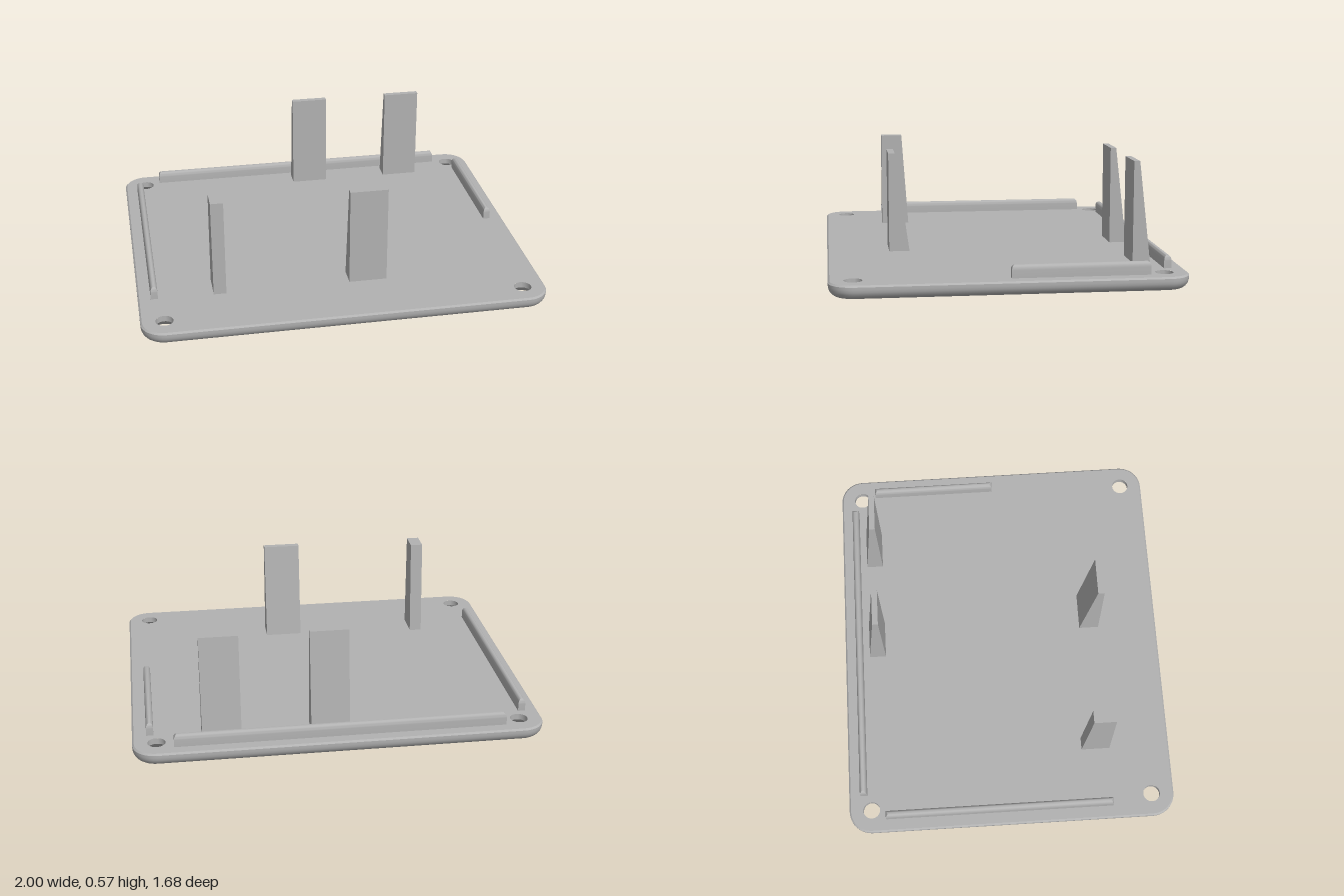
import * as THREE from 'three';
import { toCreasedNormals } from 'three/addons/utils/BufferGeometryUtils.js';

const gray = new THREE.MeshStandardMaterial({ color: 0xb2b2b2 });
gray.name = 'gray plastic';

const CX = 0.885, CZ = 0.727;          // corner and screw hole centres
const R = 0.115, FILLET = 0.05;        // corner radius, lower edge rounding
const TOP = 0.07, CHAMFER = 0.008;
const HOLE = 0.043, SINK = 0.083;      // screw hole and countersink radii
const INNER = R - FILLET;
const REACH = Math.sqrt(SINK ** 2 - INNER ** 2);
const SIGNS = [[1, 1], [-1, 1], [-1, -1], [1, -1]];

// Skin between closed loops of [x, y, z], listed bottom to top, counter-clockwise from above
function loft(loops) {
  const n = loops[0].length, index = [];
  for (let r = 0; r < loops.length - 1; r++) {
    for (let i = 0; i < n; i++) {
      const a = r * n + i, b = r * n + (i + 1) % n;
      index.push(a, b, b + n, a, b + n, a + n);
    }
  }
  const g = new THREE.BufferGeometry();
  g.setAttribute('position', new THREE.Float32BufferAttribute(loops.flat(2), 3));
  g.setIndex(index);
  g.computeVertexNormals();
  return toCreasedNormals(g, 0.6);
}

function add(parent, name, geometry) {
  const mesh = new THREE.Mesh(geometry, gray);
  mesh.name = name;
  parent.add(mesh);
  return mesh;
}

// Points around the plate: a base point, an outward direction and the distance from the corner
function stations() {
  const list = [];
  SIGNS.forEach(([sx, sz], k) => {
    const put = (angle, t) => {
      const c = Math.cos(angle), s = Math.sin(angle);
      list.push({ x: sx * CX - s * t, w: sz * CZ + c * t, c, s, t });
    };
    const base = k * Math.PI / 2;
    for (let i = 4; i > 0; i--) put(base, -REACH * i / 4);
    for (let i = 0; i <= 10; i++) put(base + i * Math.PI / 20, 0);
    for (let i = 1; i <= 4; i++) put(base + Math.PI / 2, REACH * i / 4);
  });
  return list;
}

function buildPlate() {
  const plate = new THREE.Group();
  plate.name = 'basePlate';
  const around = stations();
  const at = (p, d, y) => [p.x + p.c * d, y, -(p.w + p.s * d)];

  // Rounded lower edge, trimmed where the countersinks cut into it
  const loops = [];
  for (let i = 0; i <= 6; i++) {
    const d0 = INNER + FILLET * Math.sin(i * Math.PI / 12);
    loops.push(around.map((p) => {
      const d = Math.max(d0, Math.sqrt(Math.max(0, SINK ** 2 - p.t ** 2)));
      const y = FILLET - Math.sqrt(Math.max(0, FILLET ** 2 - (d - INNER) ** 2));
      return at(p, d, y);
    }));
  }
  loops.push(around.map((p) => at(p, R, TOP - CHAMFER)));
  loops.push(around.map((p) => at(p, R - CHAMFER, TOP)));
  add(plate, 'plateEdge', loft(loops));

  // Top face with four screw holes
  const topShape = new THREE.Shape(around.map((p) =>
    new THREE.Vector2(p.x + p.c * (R - CHAMFER), p.w + p.s * (R - CHAMFER))));
  for (const [sx, sz] of SIGNS) {
    topShape.holes.push(new THREE.Path().absarc(sx * CX, sz * CZ, HOLE, 0, Math.PI * 2, true));
  }
  add(plate, 'plateTop', new THREE.ShapeGeometry(topShape, 32).rotateX(-Math.PI / 2).translate(0, TOP, 0));

  // Underside, notched around each countersink
  const notch = Math.atan2(REACH, INNER), outline = [];
  SIGNS.forEach(([sx, sz], k) => {
    const sweep = 1.5 * Math.PI - 2 * notch;
    for (let i = 0; i <= 24; i++) {
      const a = k * Math.PI / 2 - notch - sweep * i / 24;
      outline.push(new THREE.Vector2(sx * CX + SINK * Math.cos(a), sz * CZ + SINK * Math.sin(a)));
    }
  });
  add(plate, 'plateUnderside', new THREE.ShapeGeometry(new THREE.Shape(outline)).rotateX(Math.PI / 2));

  // Countersunk hole walls, facing inward
  const profile = [[HOLE, TOP], [HOLE, 0.04], [SINK, 0]].map(([x, y]) => new THREE.Vector2(x, y));
  const wall = toCreasedNormals(new THREE.LatheGeometry(profile, 32), 0.6);
  for (const [sx, sz] of SIGNS) add(plate, 'screwHole', wall).position.set(sx * CX, 0, sz * CZ);
  return plate;
}

// Low rib with a rounded crest and rounded ends
function ribGeometry(x0, x1, z0, z1) {
  const r = Math.min(x1 - x0, z1 - z0) / 2, crest = 0.133;
  const ring = (e, y) => [[x0 + e, y, z1 - e], [x1 - e, y, z1 - e], [x1 - e, y, z0 + e], [x0 + e, y, z0 + e]];
  const loops = [ring(0, TOP - 0.005)];
  for (let i = 0; i <= 6; i++) {
    const a = i * Math.PI / 12;
    loops.push(ring(r * (1 - Math.cos(a)), crest - 0.026 * (1 - Math.sin(a))));
  }
  return loft(loops);
}

// Upright with one vertical face (zFlat) and one sloping face (zBase to zTop)
function postGeometry(x0, x1, zFlat, zBase, zTop) {
  const y0 = TOP - 0.005, y1 = 0.568;
  const g = new THREE.BoxGeometry(x1 - x0, y1 - y0, 1);
  const p = g.attributes.position, slopeSide = Math.sign(zBase - zFlat);
  for (let i = 0; i < p.count; i++) {
    const sloped = p.getZ(i) * slopeSide > 0;
    p.setZ(i, !sloped ? zFlat : p.getY(i) > 0 ? zTop : zBase);
  }
  g.translate((x0 + x1) / 2, (y0 + y1) / 2, 0);
  g.computeVertexNormals();
  return g;
}

export function createModel() {
  const model = new THREE.Group();
  model.name = 'enclosureLid';
  model.add(buildPlate());

  add(model, 'backRib', ribGeometry(-0.807, 0.803, -0.783, -0.747));
  add(model, 'rightRib', ribGeometry(-0.937, -0.902, -0.653, 0.523));
  add(model, 'leftRib', ribGeometry(0.897, 0.932, -0.653, 0.002));

  add(model, 'narrowFrontPost', postGeometry(-0.63, -0.567, 0.53, 0.383, 0.418));
  add(model, 'wideFrontPost', postGeometry(0.049, 0.238, 0.53, 0.427, 0.497));
  add(model, 'backPost', postGeometry(-0.048, 0.141, -0.626, -0.713, -0.655));
  add(model, 'backPost', postGeometry(0.478, 0.667, -0.626, -0.713, -0.655));
  return model;
}
